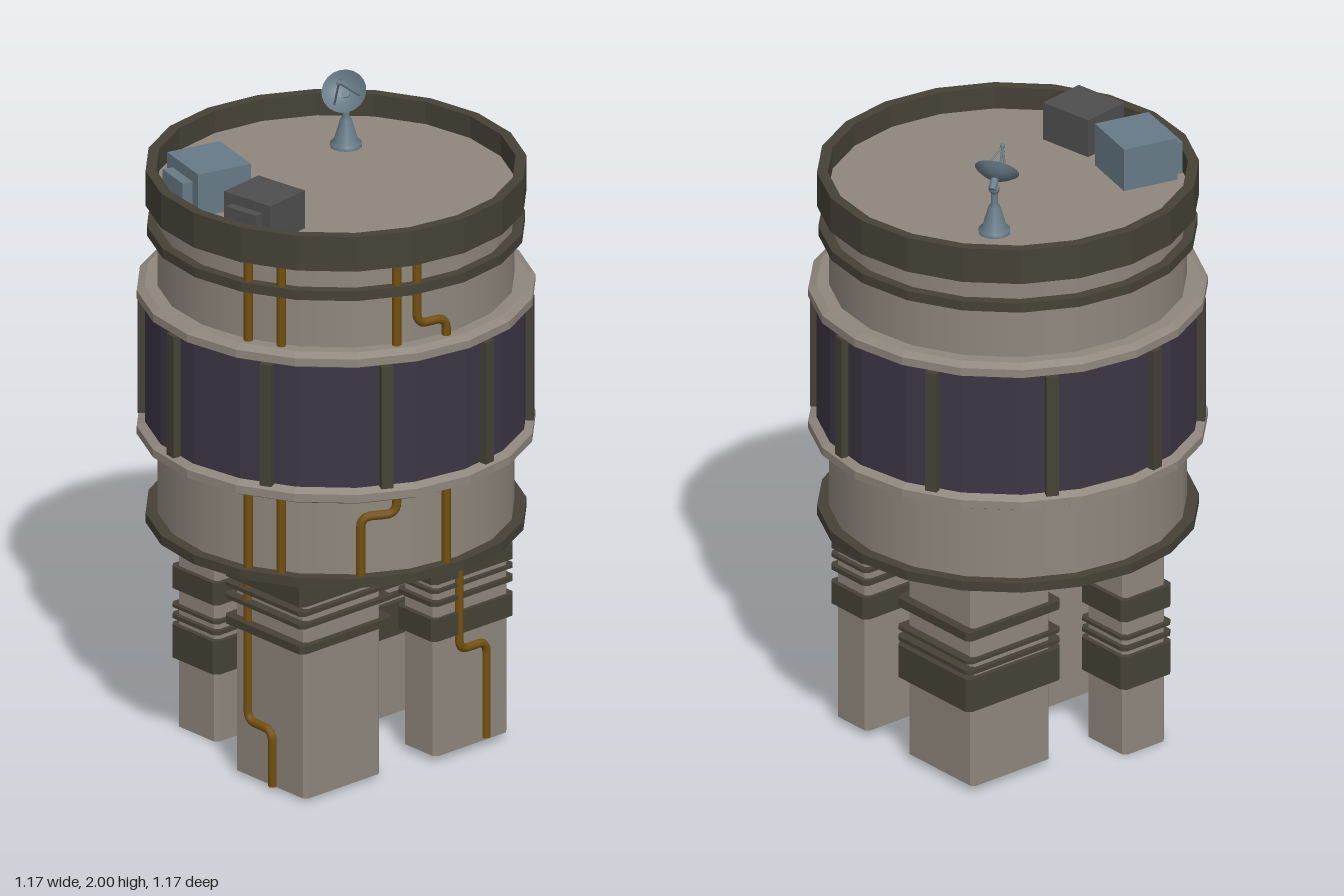
import * as THREE from 'three';

const SIDES = 20;
const mat = (color, extra = {}) => new THREE.MeshStandardMaterial({ color, ...extra });
const wall = mat(0x8f877d);
const wallFlat = mat(0x8f877d, { flatShading: true });
const trim = mat(0x454136, { flatShading: true });
const glass = mat(0x3d3645, { flatShading: true });
const brass = mat(0x74500f, { side: THREE.DoubleSide });
const steel = mat(0x667a86, { side: THREE.DoubleSide });
const darkGrey = mat(0x4e4e4e);

function add(parent, name, geometry, material, x = 0, y = 0, z = 0) {
  const mesh = new THREE.Mesh(geometry, material);
  mesh.name = name;
  mesh.position.set(x, y, z);
  parent.add(mesh);
  return mesh;
}

// Closed or open 20-sided drum section between two heights
function drum(parent, name, r, y0, y1, material, open = false) {
  const g = new THREE.CylinderGeometry(r, r, y1 - y0, SIDES, 1, open);
  return add(parent, name, g, material, 0, (y0 + y1) / 2, 0);
}

// Revolved 20-sided profile of [radius, height] pairs
function ring(parent, name, profile, material) {
  const pts = profile.map(([r, y]) => new THREE.Vector2(r, y));
  return add(parent, name, new THREE.LatheGeometry(pts, SIDES), material);
}

// Upright rectangular prism with chamfered vertical corners
function prism(w, d, h, c) {
  const a = w / 2, b = d / 2;
  const shape = new THREE.Shape([
    [a - c, -b], [a, c - b], [a, b - c], [a - c, b],
    [c - a, b], [-a, b - c], [-a, c - b], [c - a, -b],
  ].map(([x, y]) => new THREE.Vector2(x, y)));
  const g = new THREE.ExtrudeGeometry(shape, { depth: h, bevelEnabled: false });
  return g.rotateX(-Math.PI / 2);
}

// Pipe through corner points, with rounded bends
function pipe(parent, name, points, radius = 0.0135, bend = 0.035) {
  const path = new THREE.CurvePath();
  let last = points[0];
  for (let i = 1; i < points.length - 1; i++) {
    const p = points[i];
    const toward = (q) => {
      const v = q.clone().sub(p);
      return p.clone().add(v.setLength(Math.min(bend, v.length() * 0.45)));
    };
    const a = toward(points[i - 1]), b = toward(points[i + 1]);
    path.add(new THREE.LineCurve3(last, a));
    path.add(new THREE.QuadraticBezierCurve3(a, p, b));
    last = b;
  }
  path.add(new THREE.LineCurve3(last, points[points.length - 1]));
  const segments = points.length > 2 ? 90 : 1;
  add(parent, name, new THREE.TubeGeometry(path, segments, radius, 8), brass);
}

function buildLegs(root) {
  // x range, z range, foot height, band margins, [bottom, top] of each band
  const legs = [
    { name: 'frontLeftLeg', x: [0, 0.31], z: [0.1, 0.4], y: 0.01, m: [0.018, 0.03],
      bands: [[0.63, 0.71], [0.6, 0.612], [0.56, 0.573], [0.48, 0.505]] },
    { name: 'backRightLeg', x: [-0.28, 0.02], z: [-0.37, -0.07], y: 0.02, m: [0.016, 0.03],
      bands: [[0.505, 0.533], [0.43, 0.44], [0.395, 0.408], [0.275, 0.38]] },
    { name: 'frontRightLeg', x: [-0.375, -0.2], z: [0.13, 0.29], y: 0, m: [0.014, 0.015],
      bands: [[0.44, 0.51], [0.38, 0.39], [0.345, 0.357], [0.22, 0.325]] },
    { name: 'backLeftLeg', x: [0.2, 0.345], z: [-0.37, -0.08], y: 0.02, m: [0.012, 0.016],
      bands: [[0.57, 0.617], [0.542, 0.552], [0.5, 0.515], [0.39, 0.46]] },
  ];
  for (const leg of legs) {
    const group = new THREE.Group();
    group.name = leg.name;
    group.position.set((leg.x[0] + leg.x[1]) / 2, 0, (leg.z[0] + leg.z[1]) / 2);
    const w = leg.x[1] - leg.x[0], d = leg.z[1] - leg.z[0];
    add(group, 'legColumn', prism(w, d, 0.72 - leg.y, 0.012), wallFlat, 0, leg.y, 0);
    for (const [y0, y1] of leg.bands) {
      add(group, 'legBand', prism(w + 2 * leg.m[0], d + 2 * leg.m[1], y1 - y0, 0.014), trim, 0, y0, 0);
    }
    root.add(group);
  }
  // Pipes running down the outer leg faces
  const V = (x, y, z) => new THREE.Vector3(x, y, z);
  pipe(root, 'frontLegPipe', [V(0.066, 0.71, 0.406), V(0.066, 0.188, 0.406), V(0.173, 0.188, 0.406), V(0.173, 0.012, 0.406)]);
  pipe(root, 'sideLegPipe', [V(0.348, 0.71, -0.17), V(0.348, 0.335, -0.17), V(0.348, 0.335, -0.277), V(0.348, 0.03, -0.277)]);
}

function buildDrum(root) {
  drum(root, 'baseBand', 0.56, 0.705, 0.735, trim);
  drum(root, 'lowerWall', 0.525, 0.73, 0.99, wall, true);
  drum(root, 'windowBand', 0.562, 1.0, 1.43, glass, true);
  drum(root, 'upperWall', 0.525, 1.43, 1.73, wall, true);
  drum(root, 'upperBand', 0.556, 1.615, 1.645, trim);
  drum(root, 'roof', 0.53, 1.735, 1.75, wallFlat);
  ring(root, 'parapet', [[0.52, 1.71], [0.56, 1.71], [0.56, 1.82], [0.528, 1.82], [0.528, 1.74]], trim);
  // Chamfered ledges under and over the windows
  for (const y of [0.975, 1.405]) {
    ring(root, 'windowLedge', [[0.51, y], [0.562, y], [0.586, y + 0.012], [0.586, y + 0.037],
      [0.562, y + 0.05], [0.51, y + 0.05]], wallFlat);
  }
  // Mullions on every second facet
  for (let i = 0; i < 10; i++) {
    const a = THREE.MathUtils.degToRad(-9 + 36 * i);
    const m = add(root, 'mullion', new THREE.BoxGeometry(0.037, 0.385, 0.035), trim,
      Math.sin(a) * 0.562, 1.215, Math.cos(a) * 0.562);
    m.rotation.y = a;
  }
  // Wall pipes as [angle in degrees, height] corners
  const routes = [
    [[19.1, 0.73], [19.1, 1.72]],
    [[30.4, 0.73], [30.4, 1.72]],
    [[55.7, 0.73], [55.7, 0.92], [67.4, 0.92], [67.4, 1.72]],
    [[85.2, 0.73], [85.2, 1.51], [74.3, 1.51], [74.3, 1.72]],
  ];
  for (const route of routes) {
    pipe(root, 'wallPipe', route.map(([deg, y]) =>
      new THREE.Vector3().setFromCylindricalCoords(0.532, THREE.MathUtils.degToRad(deg), y)));
  }
}

// Roof box with a smaller box on its front
function buildRoofBox(root, name, material, x, z, turn, [w, h, d], [fw, fh, fd]) {
  const group = new THREE.Group();
  group.name = name;
  group.position.set(x, 1.75, z);
  group.rotation.y = THREE.MathUtils.degToRad(turn);
  add(group, 'cabinet', new THREE.BoxGeometry(w, h, d), material, 0, h / 2, 0);
  add(group, 'frontUnit', new THREE.BoxGeometry(fw, fh, fd * 2), material, 0, fh / 2, d / 2);
  root.add(group);
}

function buildDish(root) {
  const base = [[0.047, 0], [0.047, 0.012], [0.036, 0.02], [0.017, 0.085], [0.01, 0.095], [0.01, 0.14]]
    .map(([r, y]) => new THREE.Vector2(r, y));
  add(root, 'dishPedestal', new THREE.LatheGeometry(base, 14), steel, -0.2, 1.75, -0.22);
  add(root, 'dishJoint', new THREE.SphereGeometry(0.016, 12, 8), steel, -0.2, 1.89, -0.22);

  const dish = new THREE.Group();
  dish.name = 'dish';
  dish.position.set(-0.193, 1.917, -0.213);
  dish.quaternion.setFromUnitVectors(new THREE.Vector3(0, 1, 0), new THREE.Vector3(0.42, 0.65, 0.63).normalize());
  const bowl = [];
  for (let i = 0; i <= 6; i++) {
    const r = 0.067 * i / 6;
    bowl.push(new THREE.Vector2(r, 6.7 * r * r));
  }
  add(dish, 'dishBowl', new THREE.LatheGeometry(bowl, 20), steel);
  add(dish, 'dishMount', new THREE.CylinderGeometry(0.012, 0.012, 0.04, 10), steel, 0, -0.014, 0);
  // Three struts meeting at the feed
  const tip = new THREE.Vector3(0, 0.108, 0);
  for (let i = 0; i < 3; i++) {
    const foot = new THREE.Vector3().setFromCylindricalCoords(0.046, i * Math.PI * 2 / 3, 0.014);
    add(dish, 'dishStrut', new THREE.TubeGeometry(new THREE.LineCurve3(foot, tip), 1, 0.0035, 6), steel);
  }
  add(dish, 'dishFeed', new THREE.SphereGeometry(0.008, 10, 8), steel, 0, 0.108, 0);
  root.add(dish);
}

export function createModel() {
  const root = new THREE.Group();
  root.name = 'tower';
  buildLegs(root);
  buildDrum(root);
  buildRoofBox(root, 'blueRoofBox', steel, -0.163, 0.353, -14, [0.193, 0.135, 0.175], [0.125, 0.1, 0.033]);
  buildRoofBox(root, 'darkRoofBox', darkGrey, 0.103, 0.375, 8, [0.177, 0.12, 0.157], [0.113, 0.09, 0.028]);
  buildDish(root);
  return root;
}
